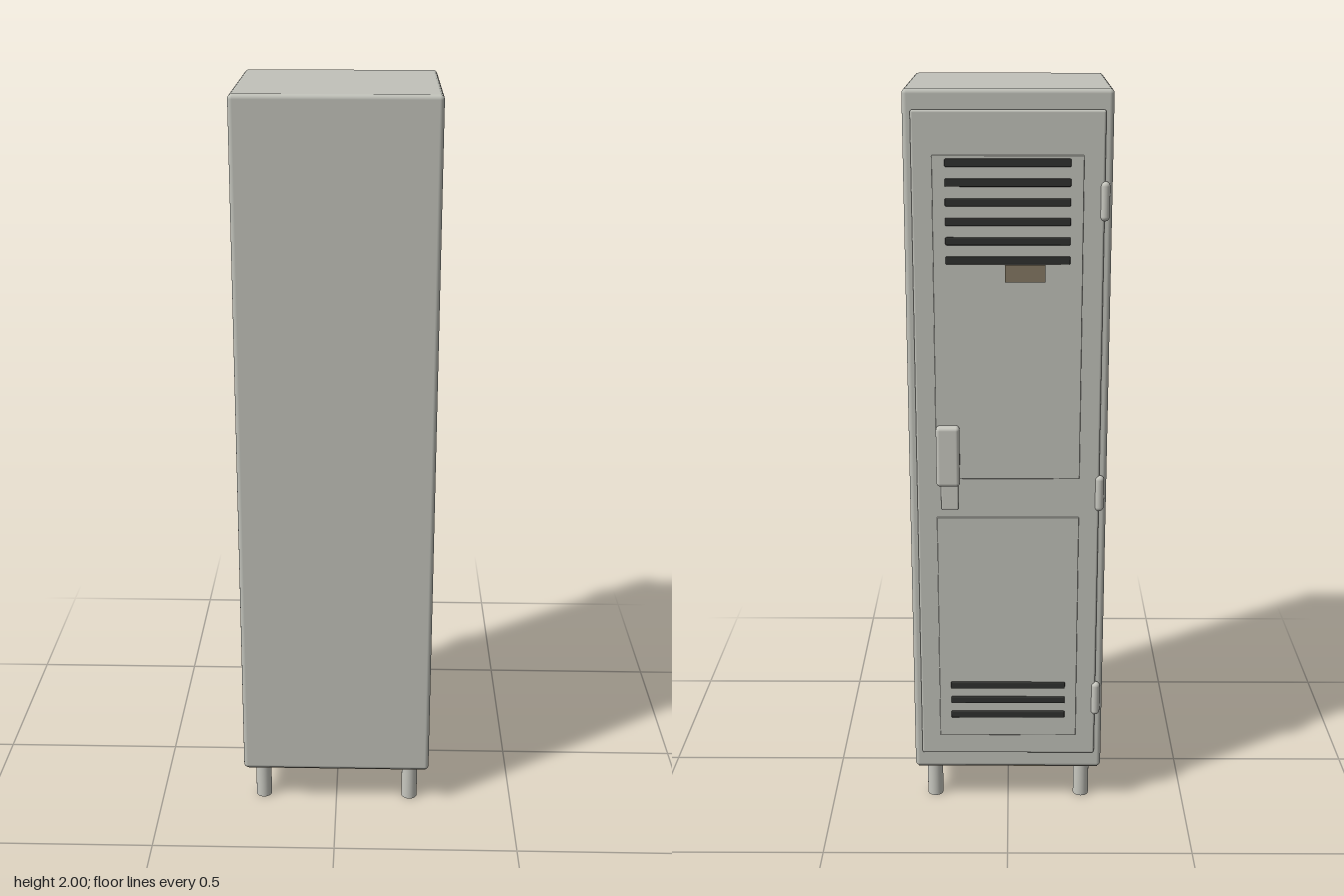
import * as THREE from 'three';
import { RoundedBoxGeometry } from 'three/addons/geometries/RoundedBoxGeometry.js';

const mat = (name, color) => {
  const m = new THREE.MeshStandardMaterial({ color });
  m.name = name;
  return m;
};

export function createModel() {
  const paint = mat('grey paint', 0xc1c2ba);
  const metal = mat('bare metal', 0xc8c8c0);
  const dark = mat('vent black', 0x30312f);
  const bronze = mat('bronze brown', 0x847863);

  const locker = new THREE.Group();
  locker.name = 'locker';

  const add = (name, geometry, material, x = 0, y = 0, z = 0) => {
    const mesh = new THREE.Mesh(geometry, material);
    mesh.name = name;
    mesh.position.set(x, y, z);
    locker.add(mesh);
  };
  // Soft-edged block given by its extents on each axis
  const block = (name, material, [x0, x1], [y0, y1], [z0, z1], r) =>
    add(name, new RoundedBoxGeometry(x1 - x0, y1 - y0, z1 - z0, 3, r), material,
      (x0 + x1) / 2, (y0 + y1) / 2, (z0 + z1) / 2);

  // Cabinet with its underside plate, and the door
  block('cabinet', paint, [-0.263, 0.263], [0.112, 2], [-0.24, 0.286], 0.012);
  add('bottomPlate', new THREE.BoxGeometry(0.508, 0.005, 0.508), bronze, 0, 0.1125, 0.023);
  block('door', paint, [-0.243, 0.242], [0.165, 1.95], [-0.255, -0.235], 0.006);

  // Raised door panels
  block('upperPanel', paint, [-0.19, 0.19], [0.99, 1.84], [-0.26, -0.25], 0.002);
  block('lowerPanel', paint, [-0.19, 0.19], [0.225, 0.88], [-0.26, -0.25], 0.002);

  // Vent slots
  const vents = (name, count, top, pitch) => {
    for (let i = 0; i < count; i++) {
      const y = top - i * pitch;
      block(name, dark, [-0.158, 0.158], [y - 0.01, y + 0.01], [-0.265, -0.257], 0.003);
    }
  };
  vents('upperVent', 6, 1.822, 0.049);
  vents('lowerVent', 3, 0.382, 0.045);

  // Label plate below the upper vents
  add('labelPlate', new THREE.BoxGeometry(0.102, 0.044, 0.006), bronze, -0.044, 1.543, -0.261);

  // Handle with latch plate
  block('handle', metal, [0.127, 0.189], [0.975, 1.14], [-0.286, -0.256], 0.01);
  block('latchPlate', metal, [0.132, 0.178], [0.903, 0.985], [-0.263, -0.25], 0.004);

  // Hinge barrels
  for (const y of [1.725, 0.947, 0.338]) {
    add('hinge', new THREE.CapsuleGeometry(0.012, 0.076, 6, 18), metal, -0.244, y, -0.251);
  }

  // Legs
  for (const x of [-0.21, 0.21]) {
    for (const z of [-0.186, 0.236]) {
      add('leg', new THREE.CylinderGeometry(0.022, 0.022, 0.12, 24), metal, x, 0.06, z);
    }
  }
  return locker;
}
